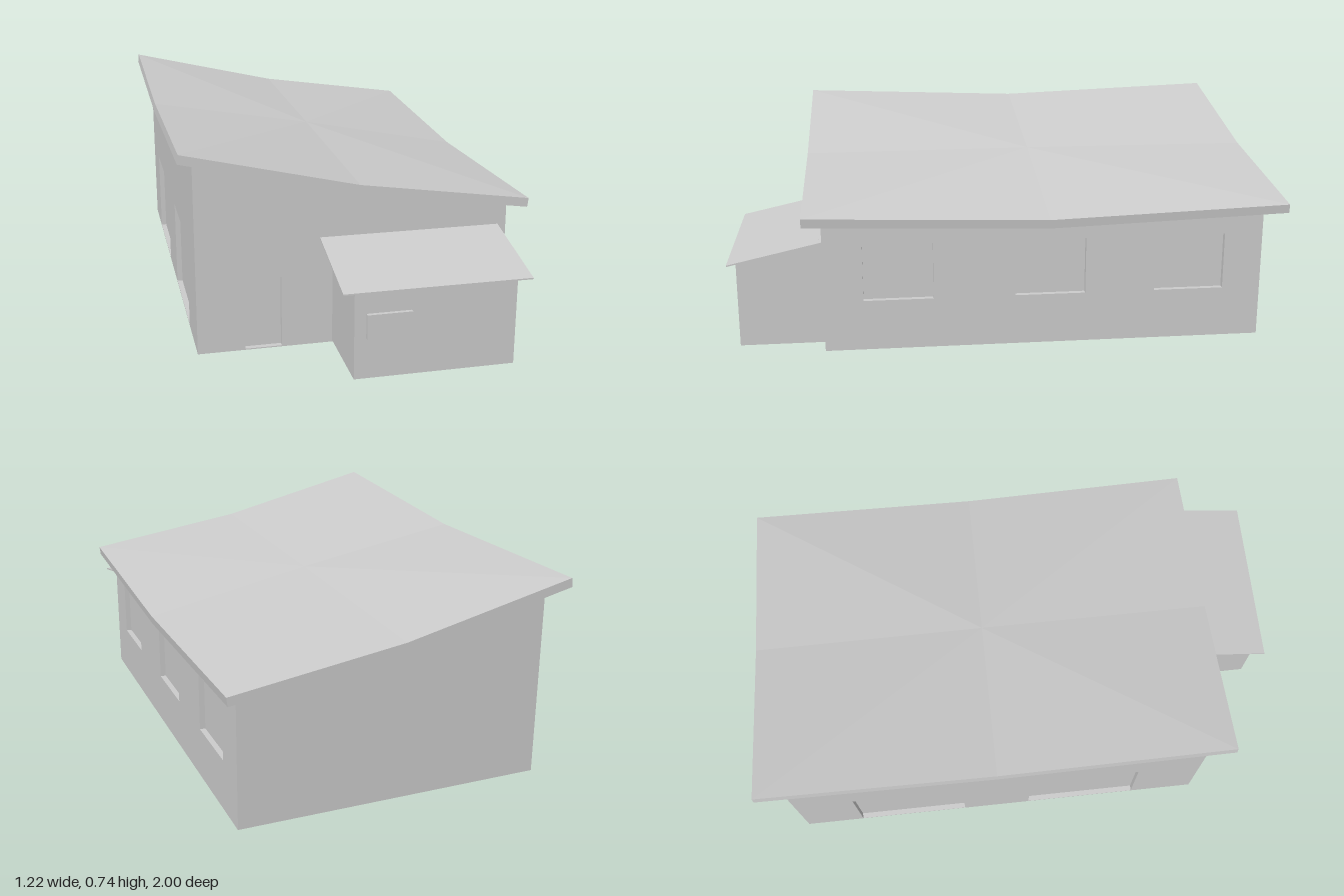
import * as THREE from 'three';

const material = new THREE.MeshStandardMaterial({ color: 0xcccccc, flatShading: true, side: THREE.DoubleSide });

// Roof plan: half width, half length, centre z; heights of the fan-shaped top surface
const HX = 0.61, HZ = 0.865, ZC = -0.135, THICK = 0.032;
const CENTRE = 0.603, RIDGE_END = 0.6;
const corner = (x) => (x < 0 ? 0.743 : 0.51);
const sideMid = (x) => (x < 0 ? 0.71 : 0.48);

// Height of the roof top at any plan position
function roofTop(x, z) {
  const u = Math.abs(x) / HX, v = Math.abs(z - ZC) / HZ;
  return v > u
    ? CENTRE + v * (RIDGE_END - CENTRE) + u * (corner(x) - RIDGE_END)
    : CENTRE + u * (sideMid(x) - CENTRE) + v * (corner(x) - sideMid(x));
}

function addMesh(parent, name, geometry) {
  const mesh = new THREE.Mesh(geometry, material);
  mesh.name = name;
  parent.add(mesh);
  return mesh;
}

// Shallow recess: a box without its outer (+z) face
function recessGeometry([u0, u1, y0, y1], depth = 0.02) {
  const g = new THREE.BoxGeometry(u1 - u0, y1 - y0, depth);
  g.setIndex(Array.from(g.index.array).filter((_, i) => i < 24 || i >= 30));
  return g.translate((u0 + u1) / 2, (y0 + y1) / 2, -depth / 2);
}

// Thin wall drawn in its own plane (outside faces local +z), with recessed openings
function addWall(parent, name, outline, openings = [], openingName = 'window') {
  const wall = new THREE.Group();
  wall.name = name;
  const shape = new THREE.Shape(outline.map(([u, y]) => new THREE.Vector2(u, y)));
  for (const r of openings) {
    const [u0, u1, y0, y1] = r;
    const hole = [[u0, y0], [u0, y1], [u1, y1], [u1, y0]];
    shape.holes.push(new THREE.Path(hole.map(([u, y]) => new THREE.Vector2(u, y))));
    addMesh(wall, openingName, recessGeometry(r));
  }
  addMesh(wall, name + 'Panel', new THREE.ShapeGeometry(shape));
  parent.add(wall);
  return wall;
}

// Roof slab: triangle fans above and below, joined by a rim
function roofGeometry() {
  const rim = [[-1, 1], [0, 1], [1, 1], [1, 0], [1, -1], [0, -1], [-1, -1], [-1, 0]];
  const point = ([i, k], bottom) => {
    const x = i * HX, z = ZC + k * HZ;
    return bottom ? [x - 0.004, roofTop(x, z) - THICK, z] : [x, roofTop(x, z), z];
  };
  const pos = [];
  rim.forEach((p, n) => {
    const q = rim[(n + 1) % rim.length];
    const a = point(p), b = point(q), c = point([0, 0]);
    const al = point(p, true), bl = point(q, true), cl = point([0, 0], true);
    pos.push(...c, ...a, ...b, ...cl, ...bl, ...al);
    pos.push(...al, ...bl, ...b, ...al, ...b, ...a);
  });
  const g = new THREE.BufferGeometry();
  g.setAttribute('position', new THREE.Float32BufferAttribute(pos, 3));
  g.computeVertexNormals();
  return g;
}

export function createModel() {
  const model = new THREE.Group();
  model.name = 'house';

  // Main walls, tops tucked just inside the roof slab
  const X0 = -0.56, X1 = 0.555, Z0 = -0.925, Z1 = 0.665;
  const under = (x, z) => roofTop(x, z) - THICK + 0.006;

  const front = addWall(model, 'frontWall', [
    [X0, 0], [X1, 0], [X1, under(X1, Z1)], [0, under(0, Z1)], [X0, under(X0, Z1)],
  ], [[-0.393, -0.262, 0.004, 0.264]], 'frontDoor');
  front.position.z = Z1;

  const back = addWall(model, 'backWall', [
    [-X1, 0], [-X0, 0], [-X0, under(X0, Z0)], [0, under(0, Z0)], [-X1, under(X1, Z0)],
  ]);
  back.rotation.y = Math.PI;
  back.position.z = Z0;

  const windows = [[0.275, 0.525], [-0.275, -0.02], [-0.785, -0.53]].map(([a, b]) => [-b, -a, 0.185, 0.393]);
  const left = addWall(model, 'leftWall', [
    [-Z1, 0], [-Z0, 0], [-Z0, under(X1, Z0)], [-ZC, under(X1, ZC)], [-Z1, under(X1, Z1)],
  ], windows, 'sideWindow');
  left.rotation.y = Math.PI / 2;
  left.position.x = X1;

  const garages = [[-0.7, -0.275], [-0.01, 0.42]].map(([a, b]) => [a, b, 0.004, 0.33]);
  const right = addWall(model, 'rightWall', [
    [Z0, 0], [Z1, 0], [Z1, under(X0, Z1)], [ZC, under(X0, ZC)], [Z0, under(X0, Z0)],
  ], garages, 'garageDoor');
  right.rotation.y = -Math.PI / 2;
  right.position.x = X0;

  addMesh(model, 'mainRoof', roofGeometry());

  // Porch extension on the front
  const porch = new THREE.Group();
  porch.name = 'porch';
  model.add(porch);
  const PX0 = -0.08, PX1 = 0.482, PZ0 = 0.655, PZ1 = 0.972, BASE = 0.005;
  const porchTop = (z) => 0.4 - (z - 0.66) * 0.225;

  addWall(porch, 'porchFront', [
    [PX0, BASE], [PX1, BASE], [PX1, porchTop(PZ1)], [PX0, porchTop(PZ1)],
  ]).position.z = PZ1;
  for (const x of [PX0, PX1]) {
    const side = addWall(porch, 'porchSide', [
      [-PZ1, BASE], [-PZ0, BASE], [-PZ0, porchTop(PZ0)], [-PZ1, porchTop(PZ1)],
    ]);
    side.rotation.y = Math.PI / 2;
    side.position.x = x;
  }

  // Window standing proud of the porch front
  addMesh(porch, 'porchWindow', new THREE.BoxGeometry(0.155, 0.087, 0.025)).position.set(0.038, 0.194, 0.973);

  // Thin sloping porch roof
  const slope = new THREE.Shape([[-1, 0.32], [-0.655, 0.396], [-0.655, 0.401], [-1, 0.325]].map(([u, y]) => new THREE.Vector2(u, y)));
  const roof = addMesh(porch, 'porchRoof', new THREE.ExtrudeGeometry(slope, { depth: 0.65, bevelEnabled: false }));
  roof.rotation.y = Math.PI / 2;
  roof.position.x = -0.125;

  return model;
}
